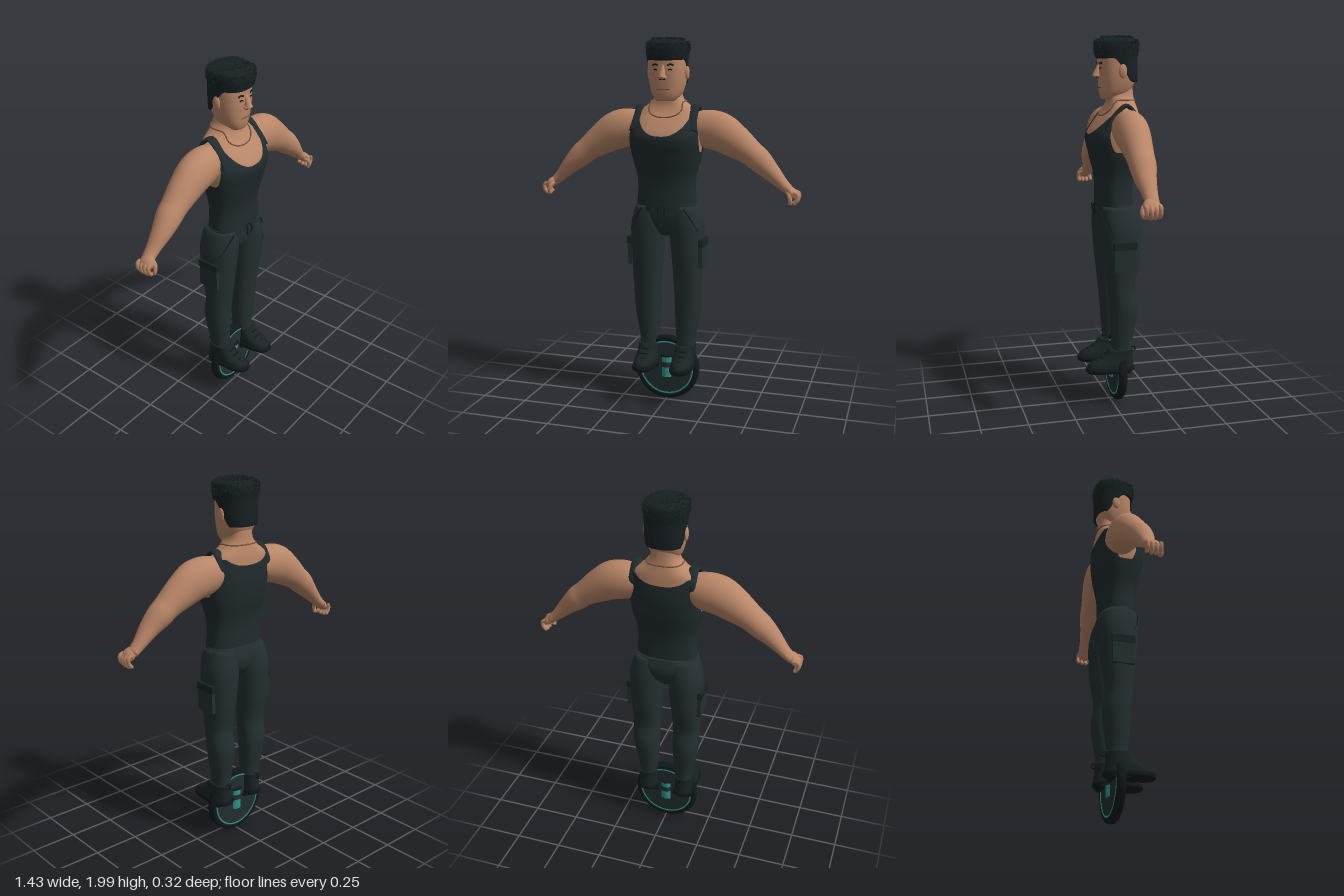
import * as THREE from 'three';
import { mergeGeometries } from 'three/addons/utils/BufferGeometryUtils.js';

const V = (x, y, z) => new THREE.Vector3(x, y, z);

// Smooth interpolation of rows whose first entry is the parameter
function interp(rows) {
  const n = rows[0].length - 1;
  const it = new THREE.CubicInterpolant(rows.map(r => r[0]), rows.flatMap(r => r.slice(1)), n, new Float32Array(n));
  return t => Array.from(it.evaluate(t));
}

// Closed tube of vertices f(theta, v), capped at both ends if asked
function grid(nu, nv, f, caps = true) {
  const pos = [], idx = [];
  const ends = [V(0, 0, 0), V(0, 0, 0)];
  for (let j = 0; j <= nv; j++) for (let i = 0; i < nu; i++) {
    const p = f(i / nu * Math.PI * 2, j / nv);
    pos.push(p.x, p.y, p.z);
    if (j === 0) ends[0].addScaledVector(p, 1 / nu);
    if (j === nv) ends[1].addScaledVector(p, 1 / nu);
  }
  for (let j = 0; j < nv; j++) for (let i = 0; i < nu; i++) {
    const a = j * nu + i, b = j * nu + (i + 1) % nu;
    idx.push(a, a + nu, b, b, a + nu, b + nu);
  }
  if (caps) {
    const c = nu * (nv + 1), top = nu * nv;
    ends.forEach(p => pos.push(p.x, p.y, p.z));
    for (let i = 0; i < nu; i++) {
      const k = (i + 1) % nu;
      idx.push(c, i, k, c + 1, top + k, top + i);
    }
  }
  const g = new THREE.BufferGeometry();
  g.setAttribute('position', new THREE.Float32BufferAttribute(pos, 3));
  g.setIndex(idx);
  g.computeVertexNormals();
  return g;
}

// Surface through horizontal sections; rows are [y, cx, rx, cz, rz]
function body(rows, e = 0.8) {
  const s = interp(rows), pw = c => Math.sign(c) * Math.abs(c) ** e;
  return (th, y, off = 0) => {
    const [cx, rx, cz, rz] = s(y);
    return V(cx + (rx + off) * pw(Math.cos(th)), y, cz + (rz + off) * pw(Math.sin(th)));
  };
}
function loft(rows, nu = 36, nv = 30, e = 0.8) {
  const f = body(rows, e), a = rows[0][0], b = rows.at(-1)[0];
  return grid(nu, nv, (th, v) => f(th, a + (b - a) * v));
}

// Elliptical sweep with a fixed side axis w; rows are [x, y, z, ru, rv]
function sweep(rows, w, nu = 28, nv = 36) {
  const s = interp(rows.map((r, i) => [i, ...r])), n = rows.length - 1;
  return grid(nu, nv, (th, v) => {
    const t = v * n, p = s(t), a = s(Math.max(0, t - 0.02)), b = s(Math.min(n, t + 0.02));
    const u = V(b[0] - a[0], b[1] - a[1], b[2] - a[2]).cross(w).normalize();
    return V(p[0], p[1], p[2]).addScaledVector(u, p[3] * Math.cos(th)).addScaledVector(w, p[4] * Math.sin(th));
  });
}

const tube = (pts, r, closed = false, n = 20) =>
  new THREE.TubeGeometry(new THREE.CatmullRomCurve3(pts, closed), n, r, 7, closed);
const box = (w, h, d, x, y, z) => new THREE.BoxGeometry(w, h, d).translate(x, y, z);
const ball = (rx, ry, rz, x, y, z) => new THREE.SphereGeometry(1, 20, 14).scale(rx, ry, rz).translate(x, y, z);

function mirrored(g) {
  const m = g.clone().scale(-1, 1, 1), a = m.index.array;
  for (let i = 0; i < a.length; i += 3) [a[i], a[i + 1]] = [a[i + 1], a[i]];
  return m;
}

export function createModel() {
  const root = new THREE.Group();
  root.name = 'wheelRider';
  const mat = (name, color, side = THREE.FrontSide) => Object.assign(new THREE.MeshStandardMaterial({ color, side }), { name });
  const skin = mat('skin', 0xb98667), shirt = mat('shirt', 0x202b2d, THREE.DoubleSide), pants = mat('trousers', 0x242f31);
  const hair = mat('hair', 0x172022, THREE.DoubleSide), shoe = mat('shoe', 0x192224), dark = mat('darkTrim', 0x10171a);
  const wheel = mat('wheel', 0x222d30), teal = mat('teal', 0x2f9488), chainMat = mat('chain', 0x76563f);
  const add = (name, g, m) => {
    const mesh = new THREE.Mesh(g, m);
    mesh.name = name;
    root.add(mesh);
  };
  const pair = (name, g, m) => {
    add(name + 'Left', g, m);
    add(name + 'Right', mirrored(g), m);
  };

  // Torso and neck
  const torsoRows = [[1.08, 0, .16, -.02, .088], [1.25, 0, .152, -.02, .09], [1.38, 0, .183, -.017, .116],
    [1.48, 0, .194, -.015, .129], [1.55, 0, .185, -.035, .108], [1.61, 0, .16, -.055, .083],
    [1.645, 0, .11, -.058, .073], [1.68, 0, .077, -.055, .07], [1.75, 0, .07, -.052, .068]];
  const torso = body(torsoRows);
  add('torso', loft(torsoRows, 48, 44), skin);

  // Vest with a scooped neckline, armholes and shoulder straps
  const ss = THREE.MathUtils.smoothstep;
  const vestTop = th => {
    const c = Math.abs(Math.cos(th)), front = Math.sin(th) > 0;
    const low = front ? 1.485 : 1.56, high = front ? 1.585 : 1.6;
    return low + (high - low) * Math.min(1, c / 0.72) ** 2 - (high - 1.4) * ss(c, 0.86, 0.99);
  };
  add('vest', grid(128, 40, (th, v) => torso(th, 1.08 + (vestTop(th) - 1.08) * v, 0.006), false), shirt);
  const strapPts = [torso(.64, 1.51), torso(.64, 1.57), V(.15, 1.636, -.05), torso(-.64, 1.57), torso(-.64, 1.51)];
  pair('strap', sweep(strapPts.map(p => [p.x, p.y, p.z, .011, .026]), V(-1, 0, 0), 16, 30), shirt);

  // Neck chain
  add('neckChain', tube(Array.from({ length: 32 }, (_, i) => {
    const th = i / 32 * Math.PI * 2;
    return torso(th, 1.662 - 0.082 * Math.max(0, Math.sin(th)) ** 4, 0.003);
  }), .0035, true, 80), chainMat);

  // Arms
  pair('arm', sweep([[.12, 1.52, -.045, .07, .07], [.19, 1.52, -.045, .097, .083], [.28, 1.505, -.042, .104, .088],
    [.37, 1.455, -.04, .088, .079], [.45, 1.4, -.037, .068, .069], [.5, 1.36, -.035, .064, .066],
    [.56, 1.305, -.03, .048, .053], [.62, 1.245, -.033, .032, .038], [.665, 1.205, -.033, .024, .034]], V(0, 0, -1)), skin);

  // Hands with curled fingers and a thumb
  pair('palm', ball(.042, .024, .043, 0, 0, 0).rotateZ(-.85).translate(.676, 1.2, -.024), skin);
  for (let i = 0; i < 4; i++) {
    const z = -.06 + i * .023, d = Math.abs(i - 1.5) * .006;
    pair('finger' + (i + 1), tube([V(.685, 1.205, z), V(.705, 1.185 + d, z), V(.704, 1.16 + d, z), V(.69, 1.142 + d, z)], .0105), skin);
    pair('fingertip' + (i + 1), ball(.0105, .0105, .0105, .69, 1.142 + d, z), skin);
  }
  pair('thumb', tube([V(.655, 1.205, -.005), V(.665, 1.19, .016), V(.672, 1.165, .02), V(.672, 1.15, .014)], .011), skin);
  pair('thumbTip', ball(.011, .011, .011, .672, 1.15, .014), skin);

  // Head, ears and face
  const headRows = [[1.665, 0, .05, -.008, .05], [1.69, 0, .072, -.02, .07], [1.74, 0, .091, -.034, .09],
    [1.8, 0, .1, -.038, .098], [1.87, 0, .102, -.04, .1], [1.93, 0, .097, -.04, .098], [1.965, 0, .07, -.04, .07]];
  const head = body(headRows);
  add('head', loft(headRows, 40, 30), skin);
  pair('ear', ball(.011, .036, .022, .104, 1.81, -.045), skin);
  const nose = new THREE.CylinderGeometry(.008, .021, .07, 12).rotateX(-.28).translate(0, 1.817, .064);
  add('nose', mergeGeometries([nose, ball(.014, .012, .014, 0, 1.788, .075)]), skin);
  pair('nostril', ball(.01, .009, .011, .015, 1.786, .066), skin);
  add('noseShadow', box(.03, .004, .012, 0, 1.777, .066), dark);
  const faceLine = (y, a, b, arch) => [0, .5, 1].map(t => head(a + (b - a) * t, y + arch * Math.sin(t * Math.PI), .001));
  pair('eyebrow', tube(faceLine(1.848, 1.08, 1.4, .006), .005), hair);
  pair('eye', tube(faceLine(1.825, 1.15, 1.36, .003), .0035), dark);
  add('mouth', tube(faceLine(1.725, 1.25, Math.PI - 1.25, .002), .003), chainMat);

  // Hair: cropped cap with short spikes
  const cap = body([[1.74, 0, .096, -.047, .097], [1.8, 0, .103, -.043, .103], [1.88, 0, .106, -.037, .109],
    [1.945, 0, .11, -.036, .113], [1.97, 0, .1, -.036, .103], [1.985, 0, .06, -.036, .062]]);
  const hairEdge = th => 1.755 + .125 * ss(Math.sin(th), -.45, .3);
  add('hair', grid(64, 26, (th, v) => cap(th, hairEdge(th) + (1.985 - hairEdge(th)) * v)), hair);
  let seed = 7;
  const rnd = () => (seed = seed * 16807 % 2147483647) / 2147483647;
  const spikes = [];
  for (let i = 0; i < 700; i++) {
    const th = rnd() * Math.PI * 2, p = cap(th, 1.885 + .1 * Math.sqrt(rnd()));
    if (i % 3 === 0) {
      const k = Math.sqrt(rnd());
      p.set(.085 * k * Math.cos(th), 1.984, -.036 + .085 * k * Math.sin(th));
    }
    const d = p.clone().sub(V(0, 1.87, -.036)).normalize().add(V(rnd() - .5, rnd() * .7, rnd() - .5)).normalize();
    const q = new THREE.Quaternion().setFromUnitVectors(V(0, 1, 0), d);
    spikes.push(new THREE.ConeGeometry(.006, .02, 3).applyQuaternion(q).translate(p.x, p.y, p.z));
  }
  add('hairSpikes', mergeGeometries(spikes), hair);

  // Trousers
  add('hips', loft([[.945, 0, .03, -.03, .05], [.99, 0, .09, -.032, .085], [1.05, 0, .155, -.032, .1],
    [1.12, 0, .165, -.025, .094]], 40, 16), pants);
  pair('leg', loft([[.27, .105, .05, -.04, .052], [.35, .105, .052, -.04, .055], [.45, .11, .064, -.044, .066],
    [.55, .115, .073, -.046, .074], [.65, .115, .075, -.034, .071], [.8, .114, .084, -.037, .092],
    [.92, .11, .092, -.036, .102], [1.0, .106, .094, -.034, .105], [1.07, .1, .083, -.03, .098],
    [1.11, .097, .071, -.027, .09]], 36, 44, .9), pants);
  pair('cargoPocket', box(.022, .15, .115, .198, .85, -.033).rotateZ(0), pants);
  pair('pocketFlap', box(.026, .04, .122, .2, .91, -.033), shoe);
  pair('pocketSeam', tube([V(.115, 1.1, .071), V(.15, 1.05, .058), V(.185, .98, .03)], .003), dark);
  pair('drawstring', tube([V(.008, 1.115, .072), V(.018, 1.1, .085), V(.014, 1.06, .085)], .004), dark);

  // Shoes with soles, laces and heel loops
  pair('sole', loft([[.2, .106, .056, .024, .126], [.205, .106, .061, .024, .132], [.225, .106, .062, .024, .133],
    [.23, .106, .059, .024, .13]], 40, 8, .75), dark);
  pair('shoe', loft([[.225, .106, .058, .023, .128], [.25, .106, .057, .015, .118], [.268, .106, .055, -.003, .098],
    [.295, .106, .053, -.022, .076], [.325, .106, .054, -.035, .066]], 40, 18, .8), shoe);
  for (let i = 0; i < 3; i++) {
    const y = .262 + i * .02, z = .102 - i * .026;
    pair('lace' + (i + 1), tube([V(.076, y - .008, z - .012), V(.106, y + .002, z), V(.136, y - .008, z - .012)], .0045), dark);
  }
  pair('heelLoop', new THREE.TorusGeometry(.013, .004, 6, 14).rotateY(Math.PI / 2).translate(.106, .315, -.104), dark);

  // Wheel: rounded tyre, flat disc and teal rings on both faces
  const cy = .183, cz = -.033;
  const rim = [[.152, -.018], [.158, -.023], [.172, -.023], [.181, -.014], [.183, 0], [.181, .014], [.172, .023], [.158, .023], [.152, .018]];
  add('tyre', new THREE.LatheGeometry(rim.map(p => new THREE.Vector2(...p)), 64).rotateX(Math.PI / 2).translate(0, cy, cz), dark);
  add('wheelDisc', new THREE.CylinderGeometry(.157, .157, .042, 64).rotateX(Math.PI / 2).translate(0, cy, cz), wheel);
  for (const s of [1, -1])
    add(s > 0 ? 'frontRing' : 'backRing', new THREE.TorusGeometry(.149, .0045, 6, 64).scale(1, 1, .5).translate(0, cy, cz + s * .022), teal);

  // Upright hub with dark bands, and pedals
  const drum = (r, y0, y1) => new THREE.CylinderGeometry(r, r, y1 - y0, 32).translate(0, (y0 + y1) / 2, cz);
  add('hub', drum(.035, .13, .25), teal);
  add('hubBand', drum(.038, .188, .216), wheel);
  add('hubCap', drum(.04, .248, .256), dark);
  pair('pedal', box(.12, .012, .09, .1, .2, cz), dark);

  return root;
}
